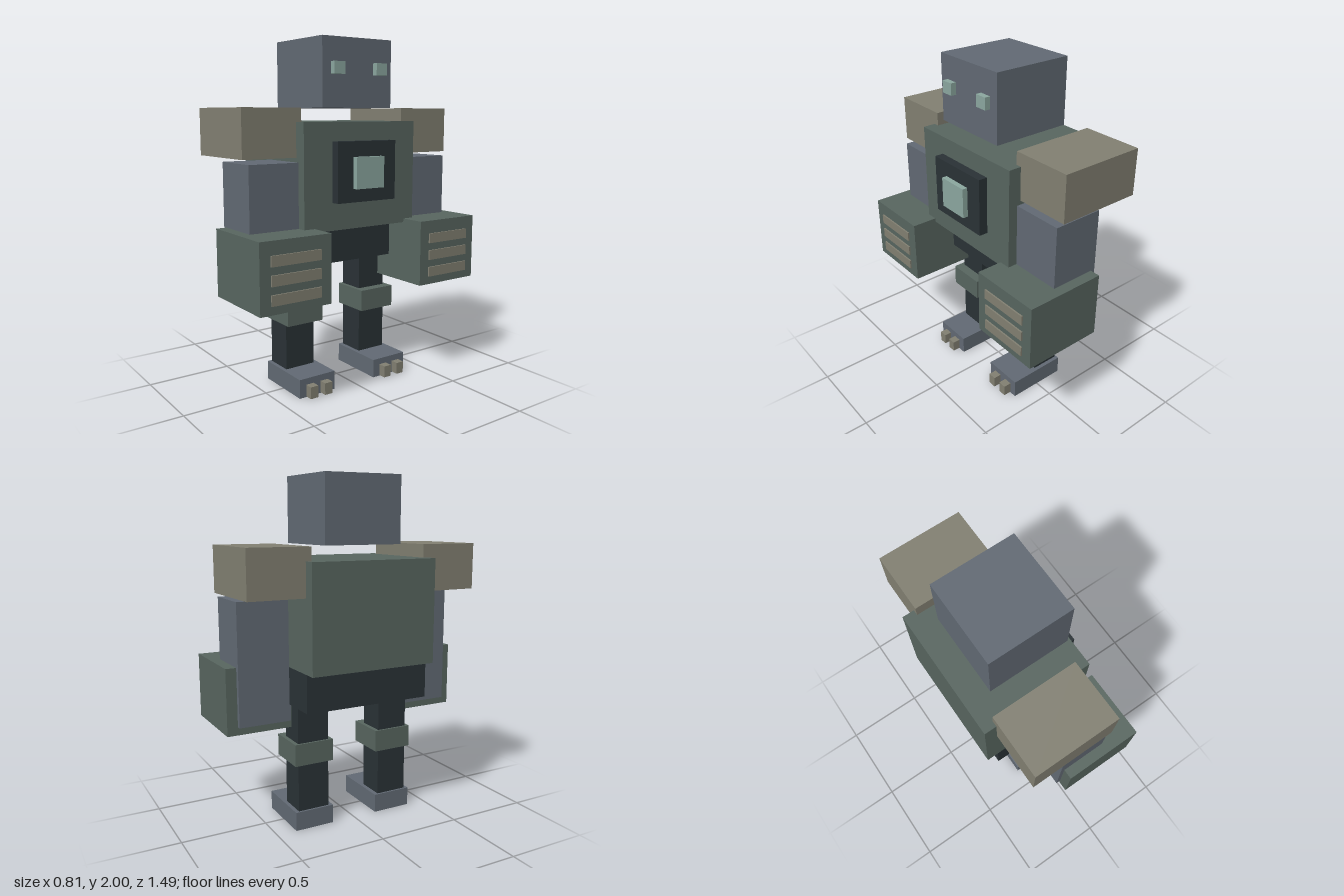
import * as THREE from 'three';

const paint = (color) => new THREE.MeshStandardMaterial({ color });

export function createModel() {
  const model = new THREE.Group();
  model.name = 'blockRobot';

  const slate = paint(0x626a74);
  const green = paint(0x586660);
  const tan = paint(0x828072);
  const dark = paint(0x2a3236);
  const mint = paint(0x8ca8a0);

  // Box given by its [min, max] range on each axis
  function block(name, material, x, y, z, parent = model) {
    const size = [x, y, z].map(([a, b]) => b - a);
    const mesh = new THREE.Mesh(new THREE.BoxGeometry(...size), material);
    mesh.position.set(...[x, y, z].map(([a, b]) => (a + b) / 2));
    mesh.name = name;
    parent.add(mesh);
  }

  // Body, facing +x
  block('head', slate, [-0.27, 0.2], [1.62, 2], [-0.237, 0.237]);
  block('torso', green, [-0.405, 0.24], [0.95, 1.545], [-0.383, 0.383]);
  block('pelvis', dark, [-0.335, 0.11], [0.735, 0.95], [-0.383, 0.383]);
  block('chestPlate', dark, [0.24, 0.292], [1.105, 1.44], [-0.2, 0.2]);
  block('chestCore', mint, [0.292, 0.323], [1.18, 1.355], [-0.095, 0.095]);

  // Paired parts, mirrored across z
  for (const side of [1, -1]) {
    const range = (a, b) => (side > 0 ? [a, b] : [-b, -a]);
    const label = side > 0 ? 'positiveZ' : 'negativeZ';

    block('eye', mint, [0.2, 0.233], [1.8, 1.867], range(0.108, 0.182));

    // Arm
    const arm = new THREE.Group();
    arm.name = label + 'Arm';
    model.add(arm);
    block('shoulderPad', tan, [-0.335, 0.165], [1.355, 1.62], range(0.35, 0.707), arm);
    block('armColumn', slate, [-0.11, 0.185], [0.64, 1.33], range(0.375, 0.682), arm);
    block('fist', green, [-0.083, 0.393], [0.593, 0.972], range(0.315, 0.743), arm);
    for (let i = 0; i < 3; i++) {
      const y = 0.64 + i * 0.1;
      block('knuckleBar', tan, [0.393, 0.402], [y, y + 0.057], range(0.38, 0.68), arm);
    }

    // Leg
    const leg = new THREE.Group();
    leg.name = label + 'Leg';
    model.add(leg);
    block('shin', dark, [-0.168, 0], [0.1, 0.74], range(0.17, 0.36), leg);
    block('kneeGuard', green, [-0.18, 0.06], [0.387, 0.515], range(0.145, 0.383), leg);
    block('foot', slate, [-0.18, 0.18], [0, 0.11], range(0.145, 0.383), leg);
    for (const z of [0.193, 0.29]) {
      block('toe', tan, [0.18, 0.228], [0.004, 0.073], range(z, z + 0.05), leg);
    }
  }

  return model;
}
